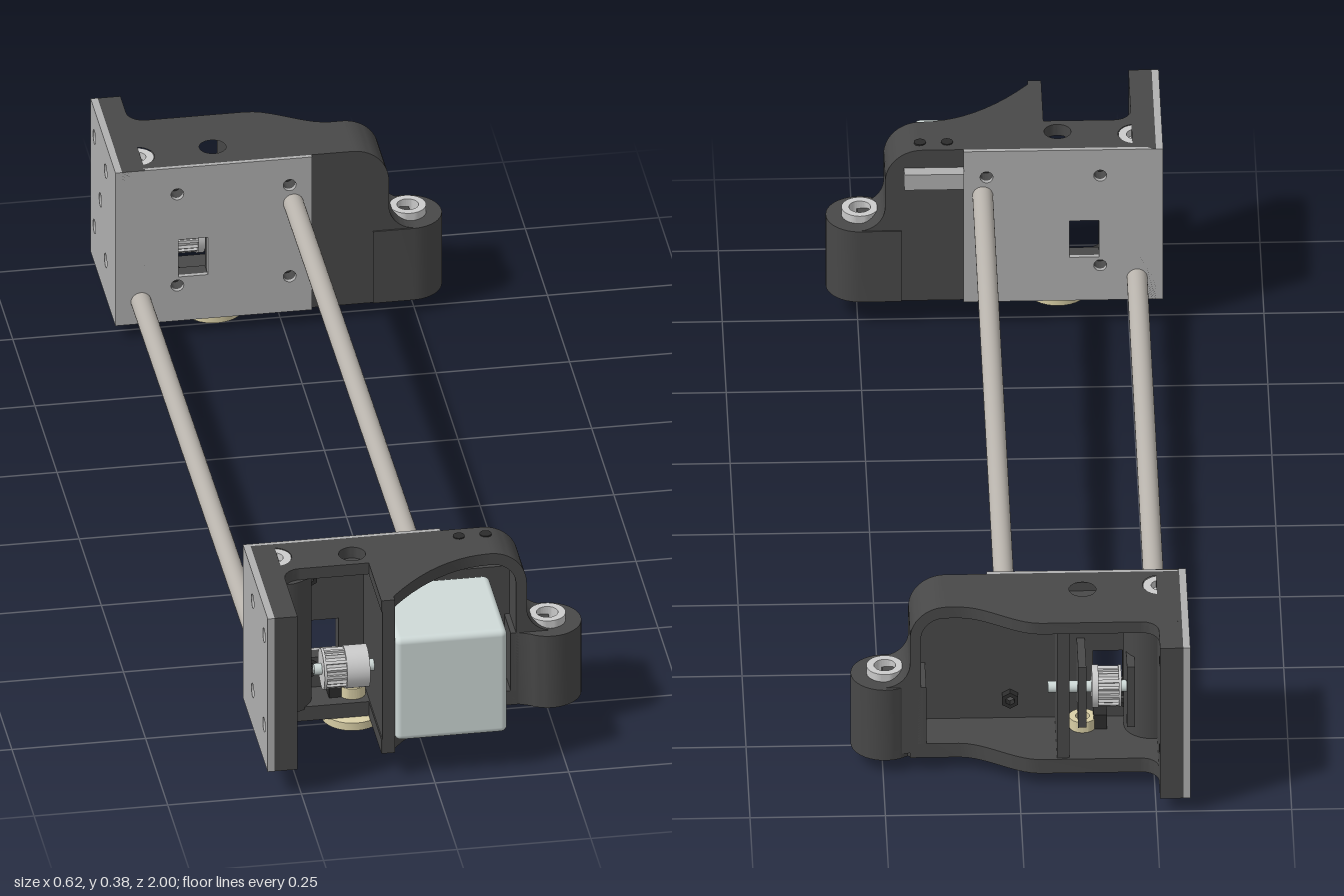
import * as THREE from 'three';
import { toCreasedNormals } from 'three/addons/utils/BufferGeometryUtils.js';
import { RoundedBoxGeometry } from 'three/addons/geometries/RoundedBoxGeometry.js';

const mat = (color) => new THREE.MeshStandardMaterial({ color });
const plastic = mat(0x484848), plateGrey = mat(0xb0b0b0), steel = mat(0xb8b3ac);
const alloy = mat(0xd8d8d8), motorGrey = mat(0xcfdad8), brass = mat(0xd9cfa6), dark = mat(0x2c2c2c);
const H = 0.325, IN = 0.72;                     // bracket height, inner face distance
const V = (x, y) => new THREE.Vector2(x, y);

function add(parent, name, geo, material, x = 0, y = 0, z = 0) {
  const m = new THREE.Mesh(geo, material);
  m.name = name;
  m.position.set(x, y, z);
  parent.add(m);
  return m;
}
// points of a circular arc
function arc(cx, cy, r, a0, a1, n = 14) {
  return Array.from({ length: n + 1 }, (_, i) => {
    const a = a0 + (a1 - a0) * i / n;
    return V(cx + r * Math.cos(a), cy + r * Math.sin(a));
  });
}
const circle = (x, y, r, n = 24) => arc(x, y, r, 0, Math.PI * 2, n).slice(0, n);
const rect = (x0, y0, x1, y1) => [V(x0, y0), V(x1, y0), V(x1, y1), V(x0, y1)];

function extrude(points, holes, depth) {
  const s = new THREE.Shape(points);
  s.holes = holes.map((h) => new THREE.Path(h));
  return toCreasedNormals(new THREE.ExtrudeGeometry(s, { depth, bevelEnabled: false, steps: 1 }), 0.5);
}
// cylinder along 'x', 'y' or 'z'
function rod(r, len, axis = 'y', n = 28) {
  const g = new THREE.CylinderGeometry(r, r, len, n);
  if (axis === 'x') g.rotateZ(Math.PI / 2);
  if (axis === 'z') g.rotateX(Math.PI / 2);
  return g;
}
function tube(r, inner, len, axis = 'y', n = 28) {
  const h = len / 2;
  const g = toCreasedNormals(new THREE.LatheGeometry(
    [V(inner, -h), V(r, -h), V(r, h), V(inner, h), V(inner, -h)], n), 0.6);
  if (axis === 'x') g.rotateZ(Math.PI / 2);
  return g;
}

// One end bracket. s = +1 front, -1 back; outline depths are measured outward from the middle.
function bracket(name, s, b, edge) {
  const g = new THREE.Group();
  g.name = name;
  g.position.y = b;
  const flip = (pts) => pts.map((p) => V(p.x, p.y * s));
  // slab drawn in plan (x, depth), between heights y0 and y1
  const slab = (n, pts, holes, y0, y1, m = plastic) =>
    add(g, n, extrude(flip(pts), holes.map(flip), y1 - y0).rotateX(Math.PI / 2), m, 0, y1, 0);
  // wall drawn in elevation (x, y), between depths d0 and d1
  const wall = (n, pts, holes, d0, d1, m = plastic) =>
    add(g, n, extrude(pts, holes, d1 - d0), m, 0, 0, s > 0 ? d0 : -d1);
  const box = (n, x0, x1, y0, y1, d0, d1, m = plastic) =>
    add(g, n, new THREE.BoxGeometry(x1 - x0, y1 - y0, d1 - d0), m,
      (x0 + x1) / 2, (y0 + y1) / 2, s * (d0 + d1) / 2);

  // top and bottom slabs, flange and arm
  const end = edge[edge.length - 1].y;
  const boss = arc(0.245, 0.788, 0.063, -Math.PI / 2, Math.PI * 0.72, 26);
  slab('topSlab', [V(-0.3, 0.728), V(0.135, 0.728), V(0.135, end), ...edge.slice().reverse(), V(-0.3, edge[0].y)],
    [circle(-0.12, 0.787, 0.025), circle(-0.265, 0.775, 0.034)], H - 0.024, H);
  slab('bottomSlab', [V(-0.3, 0.728), V(0.2, 0.728), V(0.2, end), ...edge.slice().reverse(), V(-0.3, edge[0].y)],
    [circle(-0.12, 0.787, 0.024), circle(-0.265, 0.775, 0.03)], 0, 0.03);
  slab('arm', [V(0.17, 0.725), ...boss, V(0.185, end), V(0.17, end)], [circle(0.245, 0.788, 0.033)], 0, 0.152);
  add(g, 'armBushing', tube(0.034, 0.02, 0.17), alloy, 0.245, 0.083, s * 0.788);

  // rounded shoulder running down to the arm
  wall('shoulder', [V(0.13, H), ...arc(0.132, H - 0.068, 0.068, Math.PI / 2, 0),
    ...arc(0.25, 0.202, 0.05, Math.PI, Math.PI * 1.5), V(0.25, 0.01), V(0.18, 0.01),
    ...arc(0.135, H - 0.069, 0.045, 0, Math.PI / 2), V(0.13, H - 0.024)], [], 0.728, end);

  // inner wall and its cover plate share belt slot and screw holes
  const screws = [[-0.197, 0.269], [0.013, 0.269], [-0.197, 0.075], [0.013, 0.075]];
  const slot = rect(-0.195, 0.093, -0.14, 0.172);
  const holes = screws.map(([x, y]) => circle(x, y, 0.012, 18));
  const wallHoles = [slot, ...holes];
  if (s > 0) wallHoles.push(rect(0.055, 0.254, 0.165, 0.287));
  wall('innerWall', [V(-0.3, 0.004), V(0.19, 0.004), V(0.19, 0.26), V(0.165, 0.3), V(0.13, 0.32), V(-0.3, 0.32)],
    wallHoles, 0.728, 0.755);
  wall('innerPlate', rect(-0.313, 0, 0.055, H), [slot, ...holes], IN, 0.728, plateGrey);
  for (const [x, y] of screws)
    add(g, 'nut', tube(0.017, 0.009, 0.016, 'y', 6).rotateX(Math.PI / 2), dark, x, y, s * 0.762);

  // side flange with its plate, both drilled through
  const side = [[0.83, 0.077], [0.958, 0.077], [0.83, 0.267], [0.958, 0.267]];
  const sideSheet = (n, x0, x1, m, extra = []) => {
    const pts = rect(-s * IN, 0, -s * 1.0, H);
    const hs = [...side, ...extra].map(([d, y]) => circle(-s * d, y, 0.014, 18));
    add(g, n, extrude(pts, hs, x1 - x0).rotateY(Math.PI / 2), m, x0, 0, 0);
  };
  sideSheet('sidePlate', -0.313, -0.3, plateGrey, s < 0 ? [[0.89, 0.172]] : []);
  sideSheet('sideFlange', -0.3, -0.257, plastic);
  const lip = edge[0].y;
  for (const [y0, y1] of [[0, 0.03], [H - 0.024, H]])
    slab('flangeFillet', [V(-0.258, lip - 0.01), V(-0.225, lip - 0.01), V(-0.225, lip),
      ...arc(-0.225, lip + 0.032, 0.032, -Math.PI / 2, -Math.PI, 8), V(-0.258, lip + 0.032)], [], y0, y1);

  // screw column in the corner
  add(g, 'screwColumn', rod(0.052, H - 0.05), plastic, -0.248, H / 2, s * 0.785);
  add(g, 'columnScrew', tube(0.033, 0.018, 0.03), alloy, -0.265, H - 0.016, s * 0.775);
  add(g, 'columnScrewCore', rod(0.02, 0.02), alloy, -0.265, H - 0.025, s * 0.775);
  add(g, 'columnNut', tube(0.03, 0.016, 0.02, 'y', 6), alloy, -0.265, 0.011, s * 0.775);

  // partition between belt bay and motor bay
  box('partition', -0.093, -0.07, 0, H, 0.74, s > 0 ? 0.968 : 0.9);
  box('bayLedge', -0.25, -0.09, 0.276, 0.302, 0.75, 0.775);
  box('bayStep', -0.165, -0.14, 0.02, 0.06, 0.755, 0.8, dark);

  // brass flanged bearing under the bottom slab
  const bearing = [V(0.013, -0.028), V(0.027, -0.028), V(0.027, -0.018), V(0.057, -0.018), V(0.057, -0.002),
    V(0.05, 0), V(0.025, 0), V(0.025, 0.052), V(0.013, 0.052), V(0.013, -0.028)];
  add(g, 'brassBearing', toCreasedNormals(new THREE.LatheGeometry(bearing, 32), 0.5), brass, -0.12, 0, s * 0.788);
  return { g, box };
}

// belt wheel with its axis along x
function pulley(parent, name, y, z, hub) {
  const p = new THREE.Group();
  p.name = name;
  p.position.set(0, y, z);
  parent.add(p);
  add(p, 'outerFlange', rod(0.039, 0.005, 'x'), alloy, -0.188, 0, 0);
  add(p, 'beltDrum', rod(0.033, 0.04, 'x'), alloy, -0.167, 0, 0);
  add(p, 'hub', rod(0.04, hub, 'x'), alloy, -0.148 + hub / 2, 0, 0);
  add(p, 'shaft', rod(0.011, 0.15, 'x'), motorGrey, -0.13, 0, 0);
  for (let i = 0; i < 16; i++) {
    const a = i * Math.PI / 8;
    add(p, 'tooth', new THREE.BoxGeometry(0.04, 0.006, 0.006), alloy, -0.167, 0.034 * Math.cos(a), 0.034 * Math.sin(a))
      .rotation.x = -a;
  }
}

export function createModel() {
  const model = new THREE.Group();
  model.name = 'beltAxis';
  const bF = 0.053, bB = 0.028;

  // front bracket: top sweeps out over the motor
  const sweep = [V(-0.3, 0.825), V(-0.095, 0.825), V(-0.095, 0.968), V(-0.07, 0.955)];
  for (let i = 1; i <= 10; i++) {
    const x = -0.07 + 0.02 * i;
    sweep.push(V(x, 0.828 + 0.127 * ((0.13 - x) / 0.2) ** 2));
  }
  const front = bracket('frontBracket', 1, bF, sweep);
  add(front.g, 'motor', new RoundedBoxGeometry(0.21, 0.217, 0.215, 3, 0.012), motorGrey, 0.035, 0.135, 0.868);
  pulley(front.g, 'drivePulley', 0.132, 0.866, 0.043);
  front.box('connector', 0.055, 0.165, 0.254, 0.287, 0.703, 0.74, plateGrey);
  for (const x of [0.085, 0.135])
    add(front.g, 'topScrew', rod(0.011, 0.004, 'y', 16), dark, x, H, 0.755);

  // back bracket: straight edge easing down to the arm
  const ease = [V(-0.3, 0.905), V(-0.04, 0.905)];
  for (let i = 1; i <= 10; i++) {
    const t = i / 10;
    ease.push(V(-0.04 + 0.15 * t, 0.905 - 0.062 * t * t * (3 - 2 * t)));
  }
  const back = bracket('backBracket', -1, bB, ease);
  pulley(back.g, 'idlerPulley', 0.132, -0.815, 0.012);
  back.box('idlerCheek', -0.215, -0.2, 0.07, 0.2, 0.755, 0.86);
  back.box('idlerCheek', -0.125, -0.11, 0.07, 0.2, 0.755, 0.86);

  // two guide rods joining the same points of both brackets
  for (const [x, y] of [[0.02, 0.23], [-0.265, 0.047]]) {
    const path = new THREE.Vector3(0, bF - bB, 1.47);
    const m = add(model, 'guideRod', rod(0.019, path.length()), steel, x, y + (bF + bB) / 2, 0);
    m.quaternion.setFromUnitVectors(new THREE.Vector3(0, 1, 0), path.normalize());
  }
  model.add(front.g, back.g);
  return model;
}
